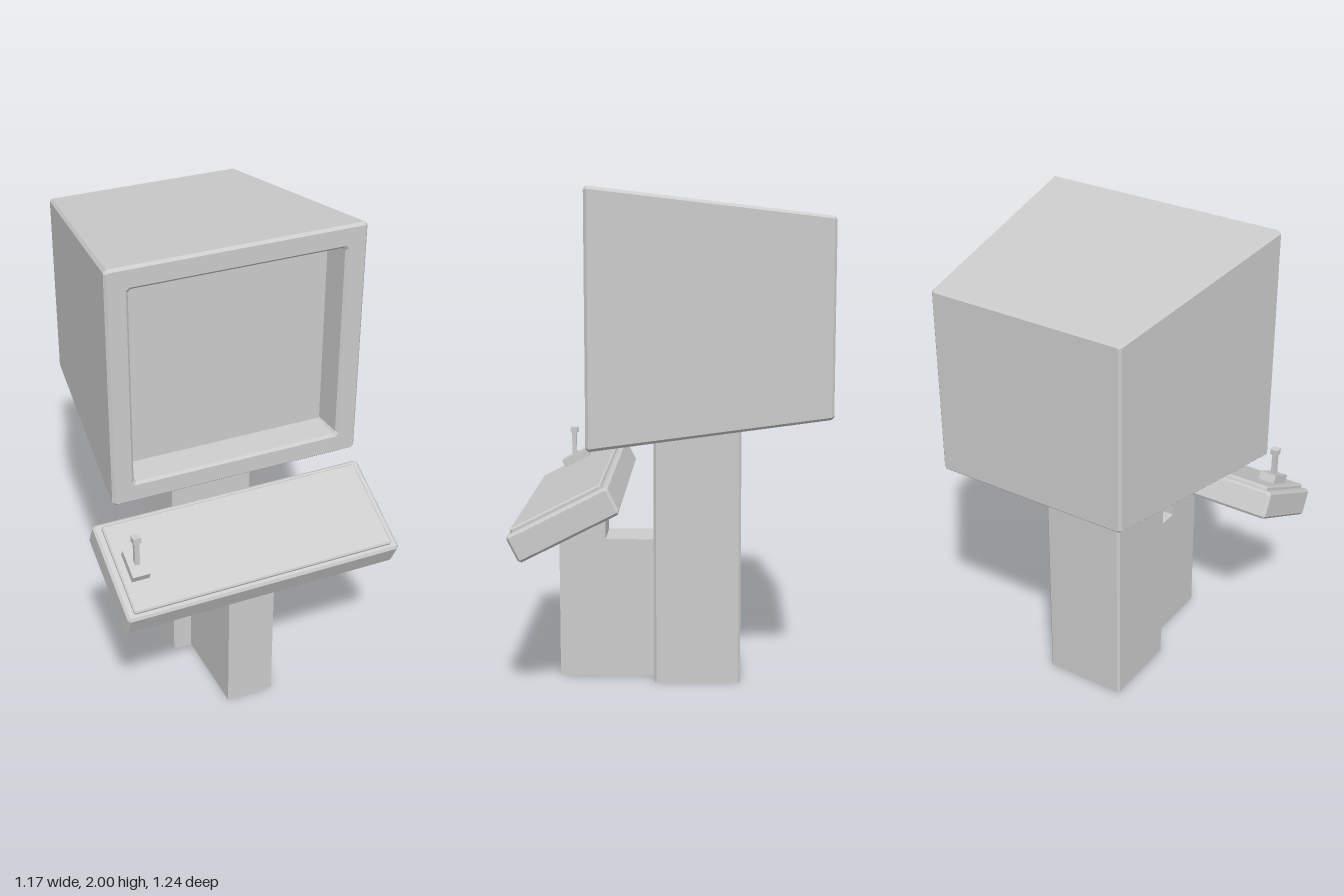
import * as THREE from 'three';

const grey = new THREE.MeshStandardMaterial({ color: 0xcccccc, flatShading: true });
const greyOpen = new THREE.MeshStandardMaterial({ color: 0xcccccc, flatShading: true, side: THREE.DoubleSide });

// Rectangle with cut corners, counter-clockwise seen from +z
function ring(hx, y0, y1, z, c) {
  return [
    [hx, y0 + c], [hx, y1 - c], [hx - c, y1], [c - hx, y1],
    [-hx, y1 - c], [-hx, y0 + c], [c - hx, y0], [hx - c, y0],
  ].map(([x, y]) => new THREE.Vector3(x, y, z));
}

// Skin a row of rings, with optional flat caps on the first and last
function loft(rings, capStart = true, capEnd = true) {
  const pts = [];
  const n = rings[0].length;
  for (let r = 0; r < rings.length - 1; r++) {
    const a = rings[r], b = rings[r + 1];
    for (let i = 0; i < n; i++) {
      const j = (i + 1) % n;
      pts.push(a[i], a[j], b[j], a[i], b[j], b[i]);
    }
  }
  const first = rings[0], last = rings[rings.length - 1];
  for (let i = 1; i < n - 1; i++) {
    if (capStart) pts.push(first[0], first[i + 1], first[i]);
    if (capEnd) pts.push(last[0], last[i], last[i + 1]);
  }
  const geo = new THREE.BufferGeometry().setFromPoints(pts);
  geo.computeVertexNormals();
  return geo;
}

// Box with chamfered edges, centred on the origin
function chamferBox(w, h, d, c) {
  const x = w / 2, y = h / 2, z = d / 2;
  return loft([
    ring(x - c, c - y, y - c, -z, c / 2), ring(x, -y, y, c - z, c),
    ring(x, -y, y, z - c, c), ring(x - c, c - y, y - c, z, c / 2),
  ]);
}

// Remove the faces lying on the ground
function openBottom(geo) {
  const src = geo.index ? geo.toNonIndexed() : geo;
  const p = src.attributes.position;
  const pts = [];
  for (let i = 0; i < p.count; i += 3) {
    const tri = [0, 1, 2].map((k) => new THREE.Vector3().fromBufferAttribute(p, i + k));
    if (tri.some((v) => v.y > 1e-4)) pts.push(...tri);
  }
  const out = new THREE.BufferGeometry().setFromPoints(pts);
  out.computeVertexNormals();
  return out;
}

function add(parent, name, geo, x = 0, y = 0, z = 0, mat = grey) {
  const mesh = new THREE.Mesh(geo, mat);
  mesh.name = name;
  mesh.position.set(x, y, z);
  parent.add(mesh);
  return mesh;
}

export function createModel() {
  const model = new THREE.Group();
  model.name = 'arcadeTerminal';

  // Tapered housing, running from its back round the front rim into the recessed screen
  add(model, 'monitorHousing', loft([
    ring(0.4, 1.13, 1.88, -0.62, 0.005),
    ring(0.41, 1.12, 1.89, -0.61, 0.01),
    ring(0.522, 1.01, 2.0, 0.31, 0.012),
    ring(0.512, 1.02, 1.99, 0.322, 0.006),
    ring(0.443, 1.087, 1.92, 0.322, 0.012),
    ring(0.433, 1.097, 1.91, 0.312, 0.01),
    ring(0.425, 1.105, 1.9, 0.19, 0.005),
  ]));

  // Main column, open underneath
  const column = loft([
    ring(0.177, -0.08, 0.272, 0, 0.01),
    ring(0.177, -0.08, 0.272, 1.09, 0.01),
  ], false, true);
  column.rotateX(-Math.PI / 2);
  add(model, 'column', column, 0, 0, 0, greyOpen);

  // Stepped bracket carrying the control panel; profile is (z, y)
  const profile = new THREE.Shape([
    [0.08, 0], [0.47, 0], [0.47, 0.66], [0.28, 0.757], [0.28, 0.58], [0.08, 0.58],
  ].map(([z, y]) => new THREE.Vector2(z, y)));
  const bracket = new THREE.ExtrudeGeometry(profile, { depth: 0.2, bevelEnabled: false });
  bracket.rotateY(-Math.PI / 2).translate(0.1, 0, 0);
  add(model, 'panelBracket', openBottom(bracket), 0, 0, 0, greyOpen);

  // Sloping control panel
  const panel = new THREE.Group();
  panel.name = 'controlPanel';
  panel.position.set(0, 0.742, 0.405);
  panel.rotation.x = THREE.MathUtils.degToRad(27);
  model.add(panel);
  add(panel, 'panelBody', chamferBox(1.17, 0.115, 0.43, 0.01));
  add(panel, 'panelTopPlate', chamferBox(1.11, 0.035, 0.385, 0.006), 0, 0.056, 0);
  add(panel, 'joystickBase', new THREE.BoxGeometry(0.072, 0.04, 0.122), -0.487, 0.088, 0.007);

  // Upright joystick
  const joystick = new THREE.Group();
  joystick.name = 'joystick';
  joystick.position.set(-0.487, 0, 0.461);
  model.add(joystick);
  add(joystick, 'joystickShaft', new THREE.BoxGeometry(0.02, 0.13, 0.02), 0, 0.875, 0);
  add(joystick, 'joystickKnob', new THREE.BoxGeometry(0.033, 0.024, 0.031), 0, 0.943, 0);

  return model;
}
